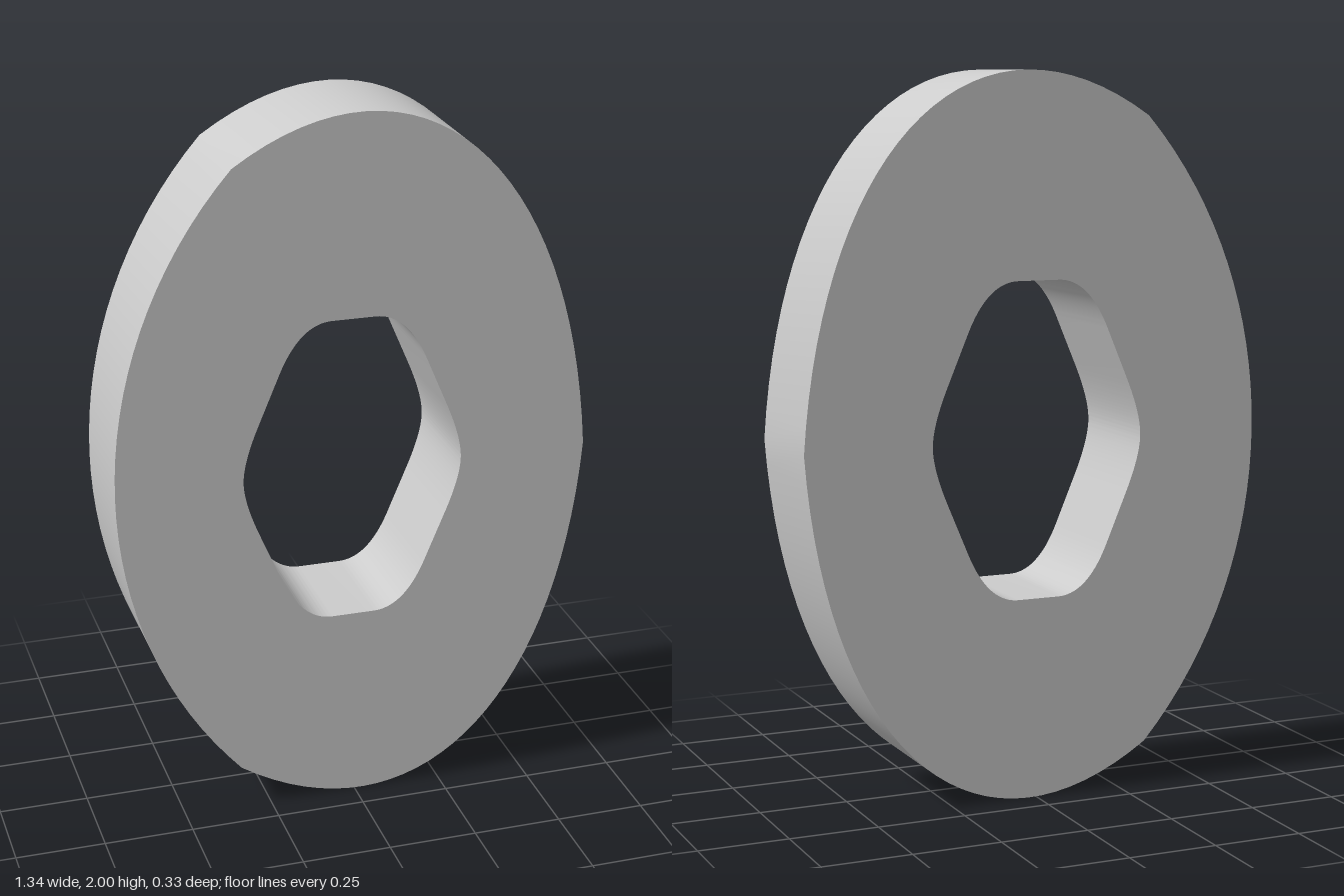
import * as THREE from 'three';
import { toCreasedNormals } from 'three/addons/utils/BufferGeometryUtils.js';

const RX = 0.668, RY = 1.014, DEPTH = 0.334;

// Outer rim: three 120 degree arcs meeting at slight corners
function rimShape() {
  const shape = new THREE.Shape();
  const handle = 0.824, lean = THREE.MathUtils.degToRad(6);
  const corner = (a) => [Math.cos(a), Math.sin(a)];
  const at = ([x, y]) => [x * RX, 1 + y * RY];
  const offset = ([x, y], a) => [x + handle * Math.cos(a), y + handle * Math.sin(a)];
  shape.moveTo(...at(corner(0)));
  for (let i = 0; i < 3; i++) {
    const a = (i * Math.PI * 2) / 3, b = a + (Math.PI * 2) / 3;
    const c0 = offset(corner(a), a + Math.PI / 2 + lean);
    const c1 = offset(corner(b), b - Math.PI / 2 - lean);
    shape.bezierCurveTo(...at(c0), ...at(c1), ...at(corner(b)));
  }
  return shape;
}

// Central opening: a tall hexagon with softly rounded corners
function openingPath() {
  const path = new THREE.Path();
  const p = (x, y) => [x - 0.005, 1 + y];
  path.moveTo(...p(0.31, 0));
  for (const [sx, sy] of [[1, 1], [-1, 1], [-1, -1], [1, -1]]) {
    const q = (x, y) => p(x * sx, y * sy);
    if (sx * sy > 0) { // side tip towards flat end
      path.quadraticCurveTo(...q(0.31, 0.058), ...q(0.267, 0.16));
      path.lineTo(...q(0.207, 0.302));
      path.quadraticCurveTo(...q(0.149, 0.438), ...q(0.06, 0.438));
    } else { // flat end towards side tip
      path.lineTo(...q(0.06, 0.438));
      path.quadraticCurveTo(...q(0.149, 0.438), ...q(0.207, 0.302));
      path.lineTo(...q(0.267, 0.16));
      path.quadraticCurveTo(...q(0.31, 0.058), ...q(0.31, 0));
    }
  }
  return path;
}

export function createModel() {
  const group = new THREE.Group();
  group.name = 'ovalRing';
  const shape = rimShape();
  shape.holes.push(openingPath());
  const geometry = new THREE.ExtrudeGeometry(shape, { depth: DEPTH, bevelEnabled: false, curveSegments: 32 });
  geometry.translate(0, 0, -DEPTH / 2);
  const ring = new THREE.Mesh(
    toCreasedNormals(geometry, 0.6),
    new THREE.MeshStandardMaterial({ color: 0xcccccc })
  );
  ring.name = 'ringBody';
  group.add(ring);
  return group;
}
